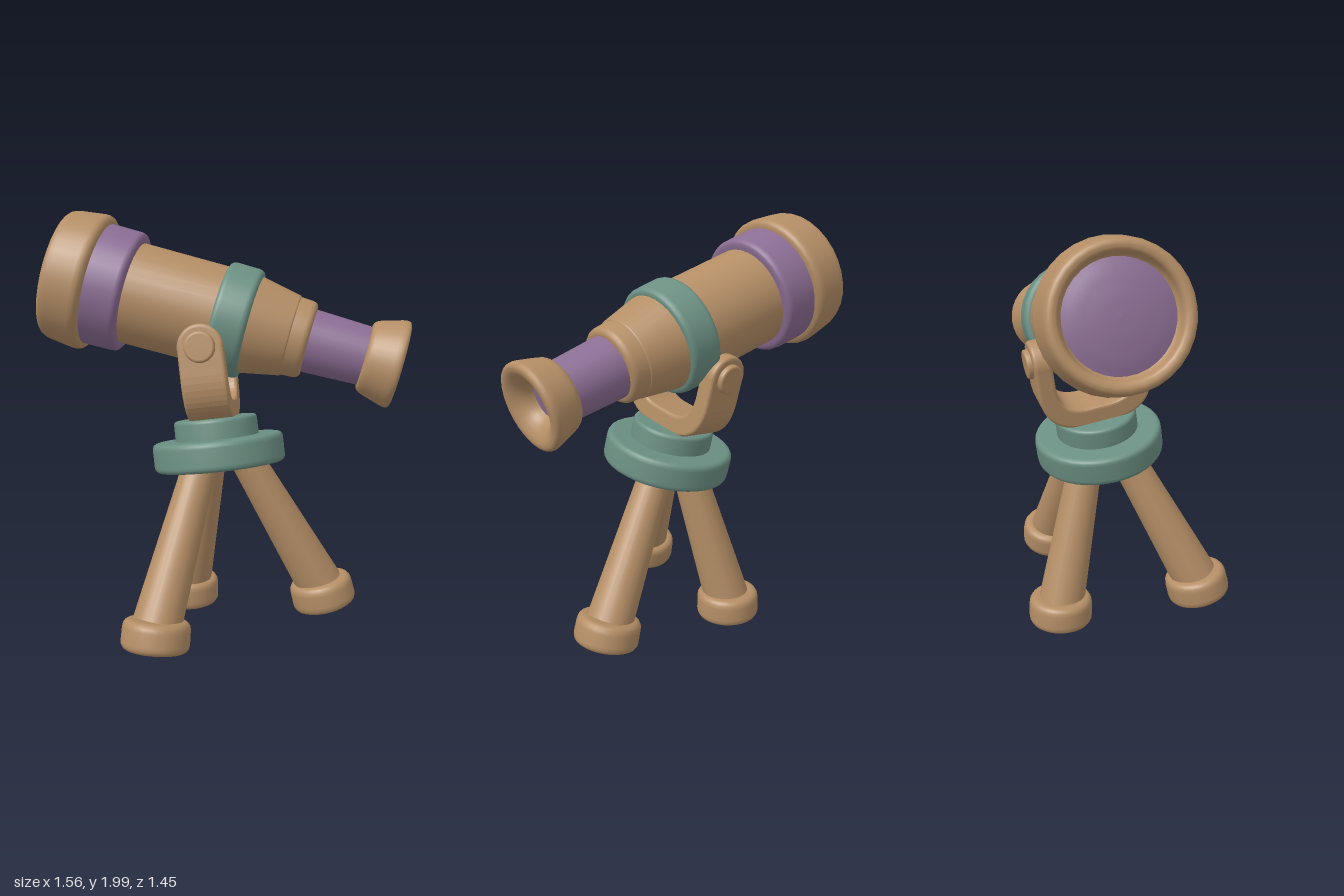
import * as THREE from 'three';

const V = (x, y, z) => new THREE.Vector3(x, y, z);
const mat = (name, color) => {
  const m = new THREE.MeshStandardMaterial({ color });
  m.name = name;
  return m;
};
const UP = V(0, 1, 0);

// Lathe from [radius, height] points, each inner corner eased by up to b
function turned(points, b = 0.03, sides = 32) {
  const p = points.map(([r, h]) => new THREE.Vector2(r, h));
  const out = [p[0]];
  for (let i = 1; i < p.length - 1; i++) {
    const ease = (q) => {
      const d = q.clone().sub(p[i]);
      return p[i].clone().addScaledVector(d, Math.min(b / d.length(), 0.45));
    };
    out.push(...new THREE.QuadraticBezierCurve(ease(p[i - 1]), p[i], ease(p[i + 1])).getPoints(4));
  }
  out.push(p[p.length - 1]);
  return new THREE.LatheGeometry(out, sides);
}
const drum = (r0, r1, h0, h1, b, sides) =>
  turned([[0, h0], [r0, h0], [r1, h1], [0, h1]], b, sides);

export function createModel() {
  const wood = mat('wood', 0xb48e66);
  const teal = mat('teal', 0x6c9083);
  const purple = mat('purple', 0x8c6e94);

  const model = new THREE.Group();
  model.name = 'telescope';
  const add = (parent, name, geometry, material) => {
    const mesh = new THREE.Mesh(geometry, material);
    mesh.name = name;
    parent.add(mesh);
    return mesh;
  };

  // Main directions: viewing axis, mount's upright and the pivot across both
  const bigEnd = V(-0.575, 1.7, -0.49);
  const axis = V(1.215, -0.4, 1.06).normalize();
  const upright = V(0, 0.978, -0.21).normalize();
  const pivot = upright.clone().cross(axis).normalize();
  const forward = pivot.clone().cross(upright);

  // Barrel, built upwards from the big end and then laid along the axis
  const barrel = new THREE.Group();
  barrel.name = 'barrel';
  barrel.position.copy(bigEnd);
  barrel.quaternion.setFromUnitVectors(UP, axis);
  model.add(barrel);
  add(barrel, 'mainTube', turned([[0, 0.1], [0.245, 0.1], [0.238, 0.8], [0.235, 0.94],
    [0.192, 1.15], [0, 1.15]], 0.01), wood);
  add(barrel, 'frontRim', turned([[0.2, 0.08], [0.245, 0.05], [0.255, -0.005], [0.308, -0.005],
    [0.332, 0.2], [0.22, 0.2]], 0.045), wood);
  add(barrel, 'frontLens', turned([[0, 0.015], [0.09, 0.02], [0.18, 0.035], [0.255, 0.06]], 0.03), purple);
  add(barrel, 'frontBand', turned([[0.22, 0.17], [0.292, 0.17], [0.288, 0.37], [0.22, 0.37]], 0.03), purple);
  add(barrel, 'middleBand', turned([[0.2, 0.79], [0.266, 0.79], [0.262, 0.955], [0.2, 0.955]], 0.03), teal);
  add(barrel, 'steppedCollar', drum(0.19, 0.182, 1.11, 1.235, 0.03), wood);
  add(barrel, 'drawTube', drum(0.152, 0.138, 1.18, 1.53, 0.005), purple);
  add(barrel, 'eyepiece', turned([[0.12, 1.5], [0.168, 1.5], [0.215, 1.665], [0.165, 1.675],
    [0.1, 1.62], [0.085, 1.55]], 0.04), wood);
  add(barrel, 'eyeLens', drum(0.1, 0.1, 1.53, 1.575, 0.005), purple);

  // Mount
  const mount = new THREE.Group();
  mount.name = 'mount';
  mount.position.set(-0.045, 0.875, 0.1);
  mount.quaternion.setFromRotationMatrix(new THREE.Matrix4().makeBasis(pivot, upright, forward));
  model.add(mount);
  add(mount, 'baseDisc', drum(0.312, 0.312, -0.07, 0.07, 0.03, 36), teal);
  add(mount, 'baseCollar', drum(0.2, 0.198, 0.05, 0.165, 0.02, 36), teal);

  // U-shaped yoke: outer and inner outline, open at the top
  const pivotHeight = 0.495;
  const half = 0.26, inner = 0.205, low = 0.165, bend = 0.2;
  const u = new THREE.Shape();
  u.moveTo(-half, pivotHeight);
  u.lineTo(-half, low + bend);
  u.quadraticCurveTo(-half, low, -half + bend, low);
  u.lineTo(half - bend, low);
  u.quadraticCurveTo(half, low, half, low + bend);
  u.lineTo(half, pivotHeight);
  u.lineTo(inner, pivotHeight);
  u.lineTo(inner, low + bend + 0.02);
  u.quadraticCurveTo(inner, low + 0.065, inner - bend + 0.04, low + 0.065);
  u.lineTo(-inner + bend - 0.04, low + 0.065);
  u.quadraticCurveTo(-inner, low + 0.065, -inner, low + bend + 0.02);
  u.lineTo(-inner, pivotHeight);
  const yoke = new THREE.ExtrudeGeometry(u, {
    depth: 0.18, bevelEnabled: true, bevelSize: 0.015, bevelThickness: 0.015,
    bevelSegments: 3, curveSegments: 12,
  });
  yoke.translate(0, 0, -0.09);
  add(mount, 'yoke', yoke, wood);
  for (const side of [-1, 1]) {
    const ear = new THREE.Group();
    ear.name = side > 0 ? 'leftEar' : 'rightEar';
    ear.position.set(0, pivotHeight, 0);
    ear.rotation.z = -side * Math.PI / 2;
    mount.add(ear);
    add(ear, 'armEnd', drum(0.106, 0.106, 0.19, 0.275, 0.018), wood);
    add(ear, 'pivotKnob', drum(0.072, 0.07, 0.26, 0.3, 0.012), wood);
  }

  // Tripod legs: [name, top, bottom, foot centre, foot axis]
  const cx = -0.04;
  const legs = [
    ['backLeg', V(cx, 0.87, 0.02), V(cx, 0.1, -0.205), V(cx, 0.072, -0.21), V(0, 1, 0)],
  ];
  for (const s of [-1, 1]) {
    legs.push([s > 0 ? 'leftLeg' : 'rightLeg', V(cx + s * 0.11, 0.87, 0.12),
      V(cx + s * 0.46, 0.18, 0.305), V(cx + s * 0.472, 0.135, 0.315), V(-s * 0.2, 1, -0.17)]);
  }
  for (const [name, top, bottom, centre, tilt] of legs) {
    const leg = new THREE.Group();
    leg.name = name;
    model.add(leg);
    const span = top.clone().sub(bottom);
    const shaft = add(leg, 'shaft', new THREE.CylinderGeometry(0.078, 0.114, span.length(), 24), wood);
    shaft.position.copy(top).add(bottom).multiplyScalar(0.5);
    shaft.quaternion.setFromUnitVectors(UP, span.normalize());
    const foot = add(leg, 'foot', drum(0.158, 0.155, -0.07, 0.07, 0.04, 28), wood);
    foot.position.copy(centre);
    foot.quaternion.setFromUnitVectors(UP, tilt.normalize());
  }
  return model;
}
